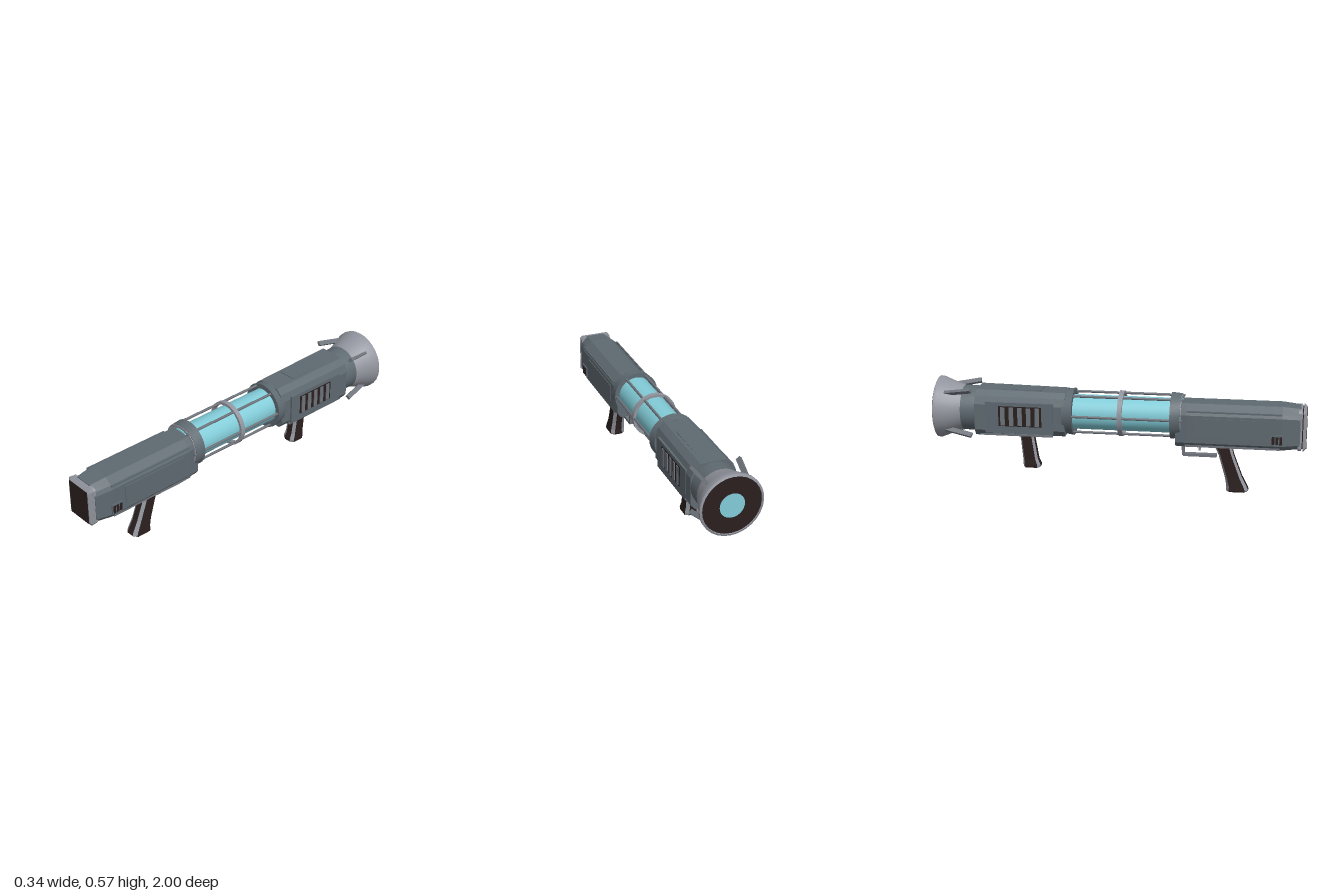
import * as THREE from 'three';
import { toCreasedNormals } from 'three/addons/utils/BufferGeometryUtils.js';

const CY = 0.405; // height of the barrel axis

const mat = (name, color, double) => {
  const m = new THREE.MeshStandardMaterial({ color });
  m.name = name;
  if (double) m.side = THREE.DoubleSide;
  return m;
};

export function createModel() {
  const root = new THREE.Group();
  root.name = 'shoulderLauncher';
  const body = mat('darkGrey', 0x5f6a71);
  const trim = mat('lightGrey', 0x92959e);
  const steel = mat('midGrey', 0x6f747c);
  const brown = mat('darkBrown', 0x2a1f1e);
  const teal = mat('teal', 0x82ccd8);

  const add = (name, geo, material, x = 0, y = 0, z = 0, parent = root) => {
    const m = new THREE.Mesh(geo, material);
    m.name = name;
    m.position.set(x, y, z);
    parent.add(m);
    return m;
  };
  const box = (name, w, h, d, material, x, y, z) =>
    add(name, new THREE.BoxGeometry(w, h, d), material, x, y, z);

  // Turned part along the barrel; profile is [radius, z] with rising z on the outside
  const turned = (name, profile, material, seg = 28) => {
    const pts = profile.map(([r, z]) => new THREE.Vector2(r, z));
    const g = new THREE.LatheGeometry(pts, seg).rotateX(Math.PI / 2);
    return add(name, toCreasedNormals(g, 0.5), material, 0, CY, 0);
  };

  // Skin over matching rings of points, with end caps; side j uses material slot j % 2 when split
  const loft = (name, rings, materials) => {
    const split = Array.isArray(materials);
    const n = rings[0].length, lists = [[], []];
    for (let j = 0; j < n; j++) {
      const k = (j + 1) % n, out = lists[split ? j % 2 : 0];
      for (let i = 0; i < rings.length - 1; i++) {
        const a = rings[i][j], b = rings[i][k], c = rings[i + 1][k], d = rings[i + 1][j];
        out.push(...a, ...b, ...c, ...a, ...c, ...d);
      }
    }
    const first = rings[0], last = rings[rings.length - 1];
    for (let j = 1; j < n - 1; j++) {
      lists[0].push(...first[0], ...first[j + 1], ...first[j]);
      lists[0].push(...last[0], ...last[j], ...last[j + 1]);
    }
    const g = new THREE.BufferGeometry();
    g.setAttribute('position', new THREE.Float32BufferAttribute([...lists[0], ...lists[1]], 3));
    if (split) {
      g.addGroup(0, lists[0].length / 3, 0);
      g.addGroup(lists[0].length / 3, lists[1].length / 3, 1);
    }
    g.computeVertexNormals();
    return add(name, g, materials);
  };

  // Mirrored half profile (top to bottom), scaled about a centre height at each z station
  const housing = (name, half, cy, stations, material) => {
    const ring = [...[...half].reverse(), ...half.map(([x, y]) => [-x, y])];
    return loft(name, stations.map(([z, sx, sy]) =>
      ring.map(([x, y]) => [x * sx, cy + (y - cy) * sy, z])), material);
  };

  // Front housing and its shoulder pad
  housing('frontHousing',
    [[0.058, 0.49], [0.094, 0.458], [0.105, 0.435], [0.105, 0.285], [0.086, 0.26]], 0.372,
    [[0.31, 0.95, 1], [0.37, 1, 1], [0.87, 1, 1], [0.965, 0.86, 0.92]], body);
  const pad = (name, hw, hh, z0, z1, bevel, material) => {
    const ring = (w, h, z) => {
      const c = 0.012;
      return [[w, -h + c], [w, h - c], [w - c, h], [-w + c, h], [-w, h - c], [-w, -h + c], [-w + c, -h], [w - c, -h]]
        .map(([x, y]) => [x, y + 0.368, z]);
    };
    loft(name, [ring(hw, hh, z0), ring(hw, hh, z1 - bevel), ring(hw - bevel, hh - bevel, z1)], material);
  };
  pad('padBase', 0.088, 0.108, 0.955, 0.975, 0.004, trim);
  pad('padGasket', 0.08, 0.1, 0.97, 0.984, 0.002, brown);
  pad('padFrame', 0.09, 0.11, 0.98, 0.998, 0.012, trim);
  box('padFace', 0.146, 0.192, 0.006, brown, 0, 0.368, 0.997);

  // Rear housing
  housing('rearHousing',
    [[0.068, 0.525], [0.1, 0.497], [0.117, 0.455], [0.117, 0.315], [0.092, 0.282]], CY,
    [[-0.775, 1.03, 1.02], [-0.7, 1.02, 1.01], [-0.36, 0.96, 0.97], [-0.285, 0.94, 0.96]], body);

  // Energy tube with its cage
  turned('energyTube', [[0.001, -0.29], [0.094, -0.29], [0.094, 0.34], [0.001, 0.34]], teal);
  const ringPart = (name, z0, z1, rIn, r0, r1, m) =>
    turned(name, [[rIn, z0], [r0, z0], [r1, z1], [rIn, z1], [rIn, z0]], m);
  ringPart('rearCollar', -0.3, -0.245, 0.1, 0.12, 0.128, body);
  ringPart('frontCollar', 0.28, 0.335, 0.1, 0.125, 0.12, body);
  ringPart('frontCollarFace', 0.33, 0.338, 0.1, 0.118, 0.116, trim);
  ringPart('middleRing', 0.0, 0.025, 0.108, 0.123, 0.123, trim);
  for (let i = 0; i < 6; i++) {
    const a = i * Math.PI / 3;
    const rod = new THREE.CylinderGeometry(0.007, 0.007, 0.62, 8).rotateX(Math.PI / 2);
    add('cageRod', rod, steel, Math.cos(a) * 0.114, CY + Math.sin(a) * 0.114, 0.035);
  }

  // Flared muzzle
  turned('muzzleNeck', [[0.123, -0.87], [0.122, -0.8], [0.118, -0.75]], body);
  turned('muzzleFlare',
    [[0.155, -0.994], [0.157, -1], [0.168, -0.995], [0.168, -0.98], [0.152, -0.94], [0.137, -0.9], [0.123, -0.855]], trim);
  const disc = (name, r, z, m) =>
    add(name, new THREE.CircleGeometry(r, 28).rotateY(Math.PI), m, 0, CY, z);
  disc('muzzleFace', 0.158, -0.995, brown);
  disc('muzzleCore', 0.066, -0.998, teal);
  for (let i = 0; i < 4; i++) {
    const a = Math.PI / 4 + i * Math.PI / 2;
    const spoke = new THREE.Group();
    spoke.name = 'muzzleFin';
    spoke.position.set(0, CY, 0);
    spoke.rotation.z = a;
    root.add(spoke);
    const fin = add('finBar', new THREE.BoxGeometry(0.026, 0.016, 0.19), steel, 0.153, 0, -0.885, spoke);
    fin.rotation.y = 0.23;
  }

  // Side details, mirrored
  for (const s of [-1, 1]) {
    box('frontSidePanel', 0.008, 0.1, 0.38, body, s * 0.105, 0.37, 0.6);
    box('frontSideRidge', 0.008, 0.008, 0.5, body, s * 0.101, 0.455, 0.62);
    box('smallVentFrame', 0.012, 0.058, 0.066, body, s * 0.105, 0.318, 0.846);
    for (let i = 0; i < 3; i++)
      box('smallVentSlot', 0.009, 0.042, 0.014, brown, s * 0.109, 0.318, 0.826 + i * 0.02);
    box('rearSidePanel', 0.012, 0.17, 0.37, body, s * 0.116, 0.385, -0.53);
    box('rearVentBack', 0.009, 0.11, 0.235, brown, s * 0.119, 0.395, -0.525);
    for (let i = 0; i < 5; i++)
      box('rearVentSlat', 0.014, 0.1, 0.024, steel, s * 0.121, 0.395, -0.431 - i * 0.047);
    box('frontLowerRail', 0.012, 0.012, 0.5, steel, s * 0.09, 0.267, 0.61);
    box('rearLowerRail', 0.012, 0.012, 0.4, steel, s * 0.097, 0.287, -0.55);
  }
  box('topRail', 0.1, 0.008, 0.26, body, 0, 0.522, -0.55);

  // Grips: brown faces with grey chamfered corners; stations are [y, zBack, zFront, halfWidth]
  const grip = (name, stations) => loft(name, stations.map(([y, z0, z1, w]) => {
    const cx = w * 0.5, cz = (z1 - z0) * 0.14;
    return [[-w + cx, z1], [w - cx, z1], [w, z1 - cz], [w, z0 + cz],
      [w - cx, z0], [-w + cx, z0], [-w, z0 + cz], [-w, z1 - cz]].map(([x, z]) => [x, y, z]);
  }), [brown, trim]);
  grip('mainGrip', [[0, 0.585, 0.692, 0.04], [0.008, 0.58, 0.7, 0.042], [0.03, 0.582, 0.69, 0.04],
    [0.08, 0.572, 0.664, 0.036], [0.2, 0.537, 0.618, 0.035], [0.27, 0.505, 0.6, 0.035]]);
  grip('supportGrip', [[0.085, -0.53, -0.44, 0.039], [0.1, -0.533, -0.439, 0.04], [0.13, -0.534, -0.452, 0.036],
    [0.24, -0.545, -0.47, 0.034], [0.29, -0.555, -0.475, 0.034]]);

  // Trigger and guard
  box('guardBottom', 0.034, 0.014, 0.18, steel, 0, 0.191, 0.436);
  const post = box('guardPost', 0.034, 0.085, 0.014, steel, 0, 0.232, 0.344);
  post.rotation.x = -0.08;
  box('guardMount', 0.06, 0.02, 0.06, body, 0, 0.268, 0.36);
  const trigger = box('trigger', 0.014, 0.05, 0.012, trim, 0, 0.24, 0.437);
  trigger.rotation.x = 0.2;

  return root;
}
